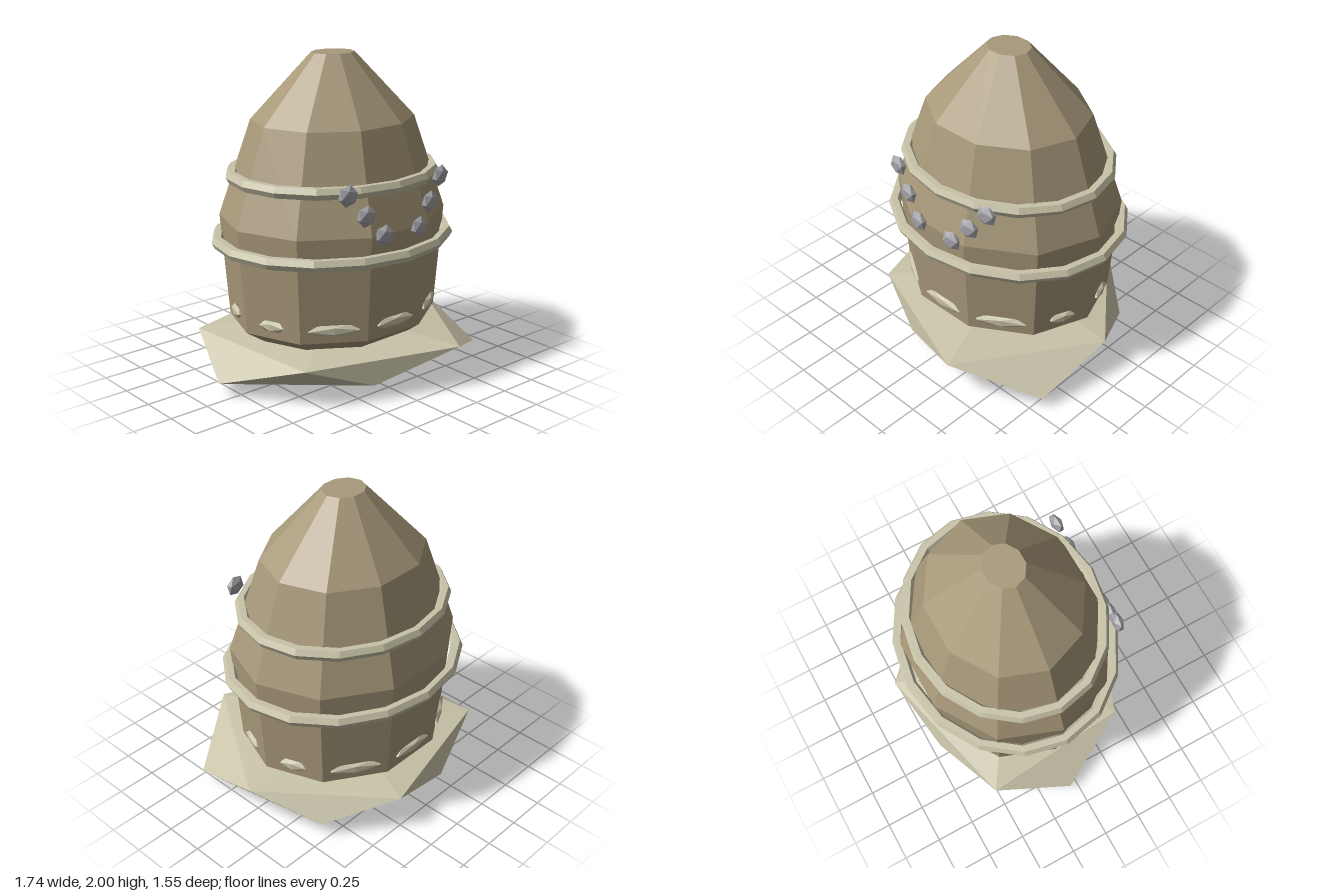
import * as THREE from 'three';

const mat = (name, color) => {
  const m = new THREE.MeshStandardMaterial({ color, flatShading: true });
  m.name = name;
  return m;
};

function add(parent, name, geometry, material) {
  const mesh = new THREE.Mesh(geometry, material);
  mesh.name = name;
  parent.add(mesh);
  return mesh;
}

// Irregular flattened twenty-sided slab: two poles and two staggered rings of five
function slabGeometry() {
  const top = [0.03, 0.35, -0.06], bottom = [0.03, 0, -0.06];
  const upper = [[0.865, 0.25, -0.06], [0.33, 0.265, 0.775], [-0.6, 0.245, 0.43], [-0.69, 0.255, -0.53], [0.29, 0.26, -0.78]];
  const lower = [[0.81, 0.08, 0.45], [-0.2, 0.1, 0.59], [-0.87, 0.085, -0.06], [-0.2, 0.1, -0.7], [0.66, 0.1, -0.47]];
  const pos = [];
  for (let k = 0; k < 5; k++) {
    const n = (k + 1) % 5;
    pos.push(...top, ...upper[n], ...upper[k]);
    pos.push(...upper[k], ...upper[n], ...lower[k]);
    pos.push(...lower[k], ...upper[n], ...lower[n]);
    pos.push(...bottom, ...lower[k], ...lower[n]);
  }
  const g = new THREE.BufferGeometry();
  g.setAttribute('position', new THREE.Float32BufferAttribute(pos, 3));
  g.computeVertexNormals();
  return g;
}

export function createModel() {
  const clay = mat('brown clay', 0xa8997a);
  const stone = mat('pale stone', 0xc8c3a8);
  const metal = mat('grey metal', 0xa2a2a8);

  const model = new THREE.Group();
  model.name = 'domedHive';
  add(model, 'baseSlab', slabGeometry(), stone);

  // Everything on the body axis is slightly flattened front to back
  const body = new THREE.Group();
  body.name = 'body';
  body.position.set(0.03, 0, -0.06);
  body.scale.z = 0.874;
  model.add(body);

  // Ten-sided dome with a flat cap
  const profile = [[0, 0.2], [0.45, 0.2], [0.685, 0.355], [0.74, 1.01], [0.53, 1.6], [0.14, 2], [0, 2]]
    .map(([r, y]) => new THREE.Vector2(r, y));
  add(body, 'dome', new THREE.LatheGeometry(profile, 10, Math.PI / 2), clay);

  // Two bands
  for (const [name, r, y] of [['lowerBand', 0.76, 0.87], ['upperBand', 0.66, 1.272]]) {
    const band = add(body, name, new THREE.TorusGeometry(r, 0.04, 6, 16), stone);
    band.rotation.x = Math.PI / 2;
    band.position.y = y;
  }

  // One flat chip on each side of the dome; length depends on the side
  const chip = new THREE.IcosahedronGeometry(1, 0);
  const lengths = [0.17, 0.19, 0.11, 0.11, 0.19, 0.17, 0.19, 0.11, 0.11, 0.19];
  lengths.forEach((len, i) => {
    const a = i * Math.PI / 5;
    const m = add(body, 'chip', chip, stone);
    m.position.set(Math.sin(a) * 0.657, 0.437, Math.cos(a) * 0.657);
    m.rotation.y = a;
    m.scale.set(len, 0.04, 0.032);
  });

  // Two mirrored rows of studs meeting in a V on the front
  const stud = new THREE.IcosahedronGeometry(0.068, 0);
  for (const side of [-1, 1]) {
    for (const [x, y, z] of [[0.14, 1.01, 0.565], [0.255, 1.14, 0.535], [0.37, 1.275, 0.505]]) {
      const m = add(model, 'stud', stud, metal);
      m.position.set(0.03 + side * x, y, z);
      m.rotation.set(0, side * 0.12, 0.3);
      m.scale.z = 0.5;
    }
  }
  return model;
}
